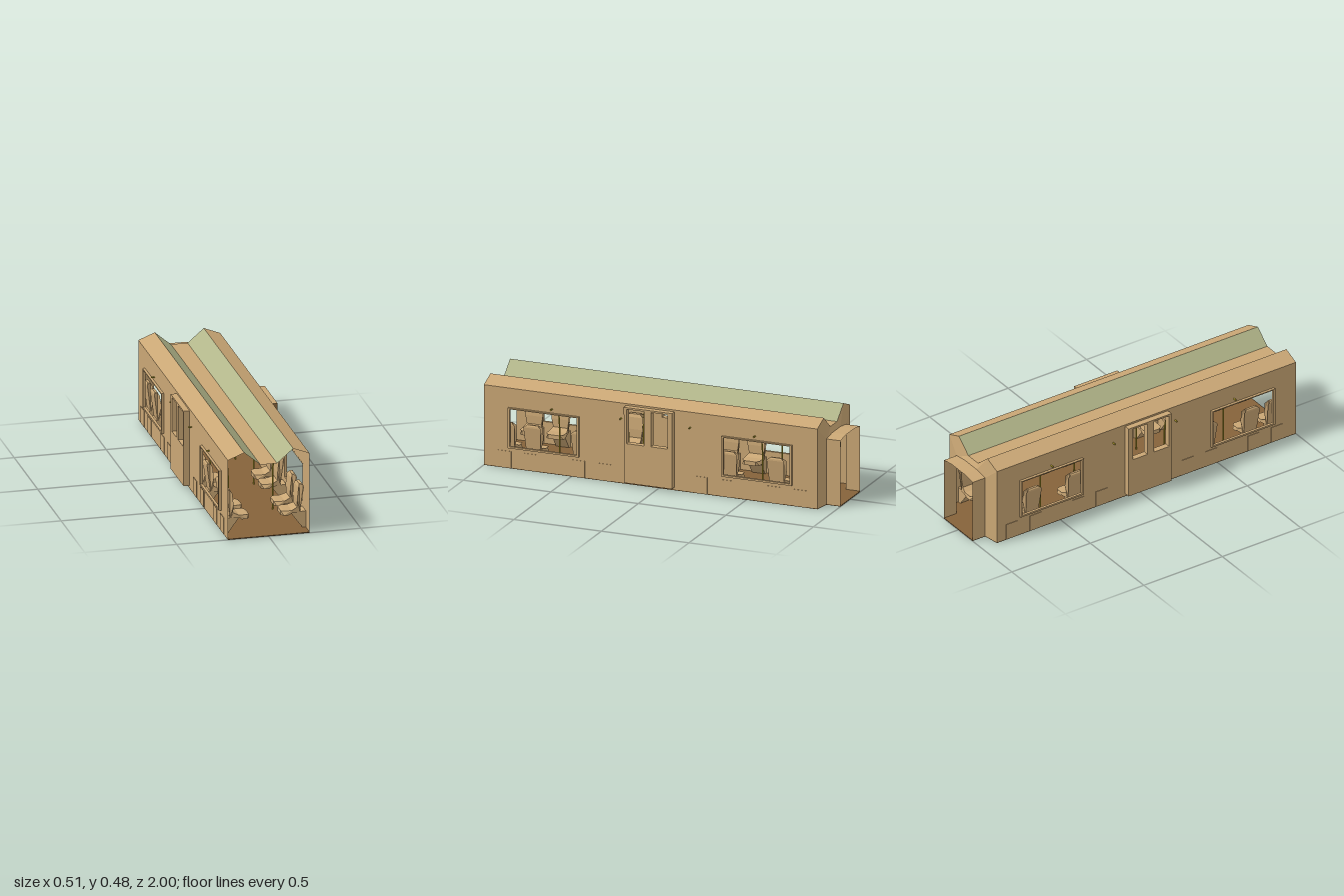
import * as THREE from 'three';

const mat = (name, color) => {
  const m = new THREE.MeshStandardMaterial({ color, side: THREE.DoubleSide });
  m.name = name;
  return m;
};

const BACK = -0.905, FRONT = 1;

function add(parent, name, geometry, material) {
  const mesh = new THREE.Mesh(geometry, material);
  mesh.name = name;
  parent.add(mesh);
  return mesh;
}

// Rectangle given as [zMin, zMax, yMin, yMax], drawn in the (-z, y) plane
function rect(Type, [z0, z1, y0, y1]) {
  const p = new Type();
  p.moveTo(-z1, y0);
  p.lineTo(-z0, y0);
  p.lineTo(-z0, y1);
  p.lineTo(-z1, y1);
  p.closePath();
  return p;
}

// Panel facing +x with rectangular holes; depth 0 gives a plain sheet
function sidePanel(outer, holes, x, depth = 0) {
  const shape = rect(THREE.Shape, outer);
  shape.holes = holes.map(h => rect(THREE.Path, h));
  const g = depth
    ? new THREE.ExtrudeGeometry(shape, { depth, bevelEnabled: false })
    : new THREE.ShapeGeometry(shape);
  return g.rotateY(Math.PI / 2).translate(x, 0, 0);
}

// Faceted sheet joining two open cross-sections of [x, y] points
function loft(a, za, b, zb) {
  const pos = [];
  for (let i = 0; i < a.length - 1; i++) {
    const p = [...a[i], za], q = [...a[i + 1], za];
    const r = [...b[i + 1], zb], s = [...b[i], zb];
    pos.push(...p, ...s, ...r, ...p, ...r, ...q);
  }
  const g = new THREE.BufferGeometry();
  g.setAttribute('position', new THREE.Float32BufferAttribute(pos, 3));
  g.computeVertexNormals();
  return g;
}

// Profile in x, y extruded to a width centred on z = 0
function profile(points, width) {
  const shape = new THREE.Shape(points.map(p => new THREE.Vector2(...p)));
  return new THREE.ExtrudeGeometry(shape, { depth: width, bevelEnabled: false }).translate(0, 0, -width / 2);
}

// Narrow the width wherever the rule says so
function taper(g, rule) {
  const p = g.attributes.position;
  for (let i = 0; i < p.count; i++) p.setZ(i, p.getZ(i) * rule(p.getX(i), p.getY(i)));
  g.computeVertexNormals();
  return g;
}

const mirrored = half => [...half, ...half.slice().reverse().map(([x, y]) => [-x, y])];

export function createModel() {
  const tan = mat('tan body', 0xcaa775);
  const green = mat('pale green roof', 0xb2b68a);
  const brown = mat('brown floor', 0x86633a);
  const yellow = mat('yellow rail', 0xc8b430);

  const model = new THREE.Group();
  model.name = 'trainCar';

  // Floor, including the end passage
  const floor = new THREE.Shape([
    [-0.222, -FRONT], [0.222, -FRONT], [0.222, -BACK], [0.133, 0.92], [0.133, 1],
    [-0.133, 1], [-0.133, 0.92], [-0.222, -BACK],
  ].map(p => new THREE.Vector2(...p)));
  add(model, 'floor', new THREE.ExtrudeGeometry(floor, { depth: 0.004, bevelEnabled: false }).rotateX(-Math.PI / 2), brown);

  // Central roof gutter
  const gutter = [[0.045, 0.405], [-0.045, 0.405]];
  add(model, 'roofGutter', loft(gutter, BACK, gutter, FRONT), tan);

  // End wall narrowing to the passage, and the passage itself
  const outer = mirrored([[0.222, 0.004], [0.222, 0.445], [0.133, 0.48], [0.045, 0.405]]);
  const inner = mirrored([[0.133, 0.004], [0.133, 0.365], [0.115, 0.368], [0.055, 0.376]]);
  add(model, 'endWall', loft(inner, -0.92, outer, BACK), tan);
  add(model, 'endPassage', loft(inner, -1, inner, -0.92), tan);

  // Shared seat geometries, drawn for the +x side
  const backrest = taper(profile([
    [0.19, 0.091], [0.209, 0.232], [0.208, 0.241], [0.203, 0.248], [0.188, 0.246],
    [0.18, 0.23], [0.173, 0.166], [0.174, 0.115], [0.165, 0.091],
  ], 0.1), (x, y) => (y > 0.244 ? 0.6 : y > 0.238 ? 0.8 : y < 0.12 ? 0.8 : 1));
  const cushion = taper(profile([
    [0.185, 0.091], [0.175, 0.121], [0.143, 0.107], [0.1, 0.107], [0.087, 0.105], [0.087, 0.082], [0.1, 0.082], [0.13, 0.082], [0.139, 0.091],
  ], 0.1), x => (x < 0.09 ? 0.65 : x > 0.17 ? 0.85 : 1));
  const bracket = profile([
    [0.225, 0.095], [0.19, 0.092], [0.139, 0.091], [0.18, 0.035], [0.205, 0.003], [0.225, 0.003],
  ], 0.075);

  // Grab pole: out through the wall, curving down to the floor
  const pole = new THREE.CurvePath();
  const v = (x, y) => new THREE.Vector3(x, y, 0);
  pole.add(new THREE.LineCurve3(v(0.24, 0.36), v(0.2, 0.36)));
  pole.add(new THREE.CubicBezierCurve3(v(0.2, 0.36), v(0.135, 0.36), v(0.12, 0.29), v(0.12, 0.18)));
  pole.add(new THREE.LineCurve3(v(0.12, 0.18), v(0.12, 0.004)));
  const poleGeometry = new THREE.TubeGeometry(pole, 40, 0.004, 8);

  const windows = [[0.465, 0.848, 0.125, 0.332], [-0.752, -0.372, 0.125, 0.332]];
  const doorPanes = [[0.072, 0.17, 0.235, 0.425], [-0.062, 0.032, 0.235, 0.425]];
  const seats = [0.88, 0.73, 0.46, 0.31, -0.24, -0.39, -0.66, -0.81];

  for (const s of [1, -1]) {
    const side = new THREE.Group();
    side.name = s > 0 ? 'leftSide' : 'rightSide';
    side.scale.x = s;
    model.add(side);

    add(side, 'sideWall', sidePanel([BACK, FRONT, 0.004, 0.445], [...windows, ...doorPanes], 0.222), tan);

    const shoulder = [[0.222, 0.445], [0.133, 0.48]], slope = [[0.133, 0.48], [0.045, 0.405]];
    add(side, 'roofShoulder', loft(shoulder, BACK, shoulder, FRONT), tan);
    add(side, 'roofSlope', loft(slope, BACK, slope, FRONT), green);

    // Raised window frames and sliding door
    for (const w of windows) {
      const [z0, z1, y0, y1] = w;
      add(side, 'windowFrame', sidePanel([z0 - 0.011, z1 + 0.011, y0 - 0.01, y1 + 0.006], [w], 0.2215, 0.0145), tan);
    }
    add(side, 'door', sidePanel([-0.088, 0.185, 0.016, 0.435], doorPanes, 0.222, 0.033), tan);

    // Seats facing the aisle
    for (const z of seats) {
      const seat = new THREE.Group();
      seat.name = 'seat';
      seat.position.z = z;
      add(seat, 'backrest', backrest, tan);
      add(seat, 'cushion', cushion, tan);
      add(seat, 'bracket', bracket, tan);
      side.add(seat);
    }

    for (const z of s > 0 ? [0.61, 0.215, -0.18, -0.55] : [0.605, 0.23, -0.165, -0.56])
      add(side, 'grabPole', poleGeometry, yellow).position.z = z;
  }

  // Brown end plate on the left door header
  const plate = add(model, 'doorHeaderPlate', new THREE.BoxGeometry(0.033, 0.04, 0.002), brown);
  plate.position.set(0.2385, 0.415, 0.186);
  return model;
}
